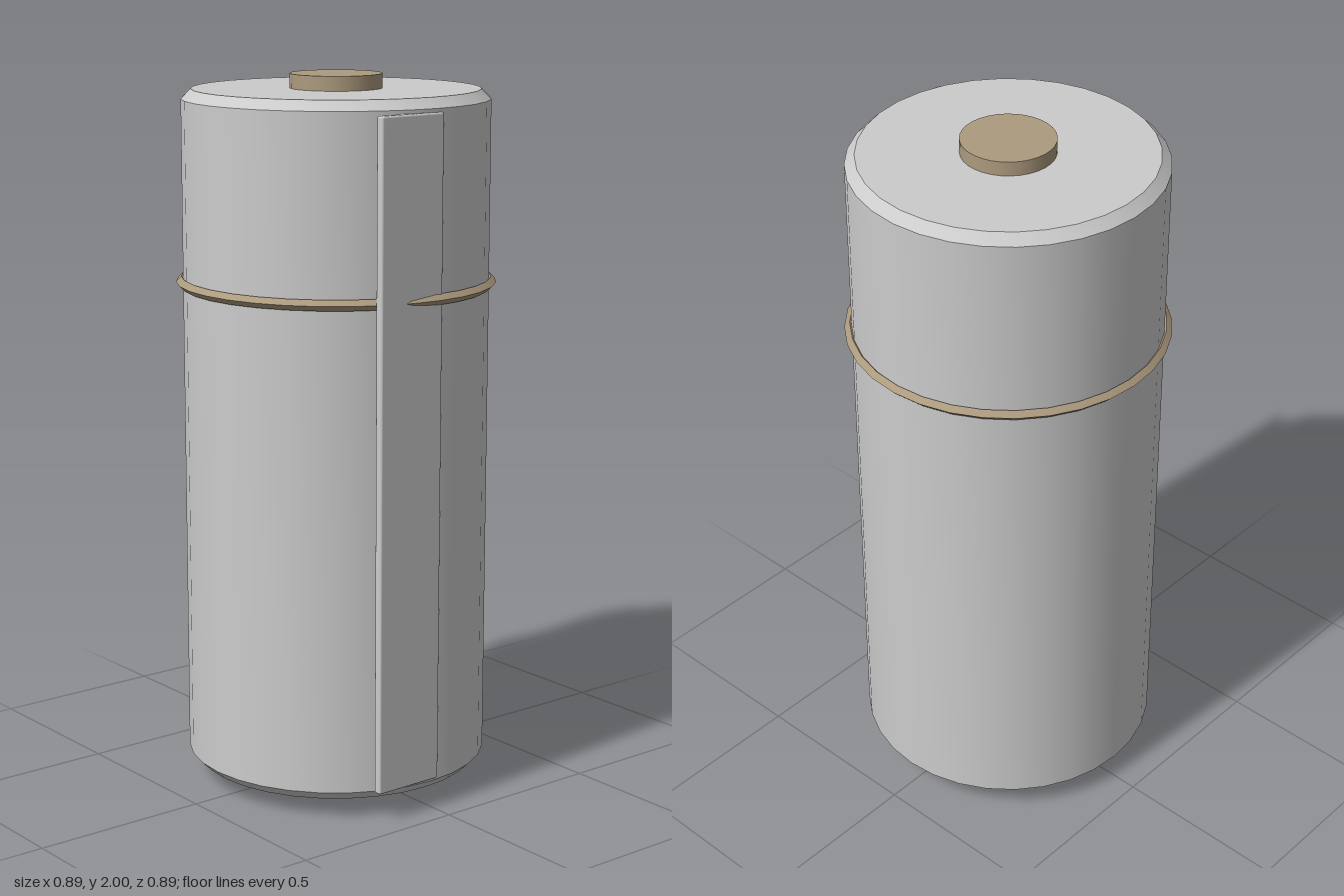
import * as THREE from 'three';
import { toCreasedNormals } from 'three/addons/utils/BufferGeometryUtils.js';
import { RoundedBoxGeometry } from 'three/addons/geometries/RoundedBoxGeometry.js';

const SIDES = 32;
const paper = new THREE.MeshStandardMaterial({ color: 0xcccccc });
const card = new THREE.MeshStandardMaterial({ color: 0xac9a7e });

function part(name, geometry, material) {
  const mesh = new THREE.Mesh(geometry, material);
  mesh.name = name;
  return mesh;
}

export function createModel() {
  const group = new THREE.Group();
  group.name = 'paperRoll';

  // Wound roll: a cylinder with chamfered rims
  const profile = [[0, 0.05], [0.398, 0.05], [0.425, 0.077], [0.425, 1.933], [0.398, 1.96], [0, 1.96]]
    .map(([r, y]) => new THREE.Vector2(r, y));
  const roll = toCreasedNormals(new THREE.LatheGeometry(profile, SIDES), 0.5);
  group.add(part('roll', roll, paper));

  // Solid core sticking out at both ends
  const core = part('core', new THREE.CylinderGeometry(0.127, 0.127, 2, SIDES), card);
  core.position.y = 1;
  group.add(core);

  // Band with a diamond cross-section around the roll
  const bandShape = toCreasedNormals(new THREE.TorusGeometry(0.43, 0.015, 4, SIDES), 0.5);
  const band = part('band', bandShape, card);
  band.rotation.x = Math.PI / 2;
  band.position.y = 1.43;
  group.add(band);

  // Loose end of the sheet, a thin flap on the left side
  const flap = part('sheetEnd', new RoundedBoxGeometry(0.025, 1.84, 0.21, 2, 0.006), paper);
  flap.position.set(0.418, 1.003, 0.086);
  group.add(flap);

  return group;
}
